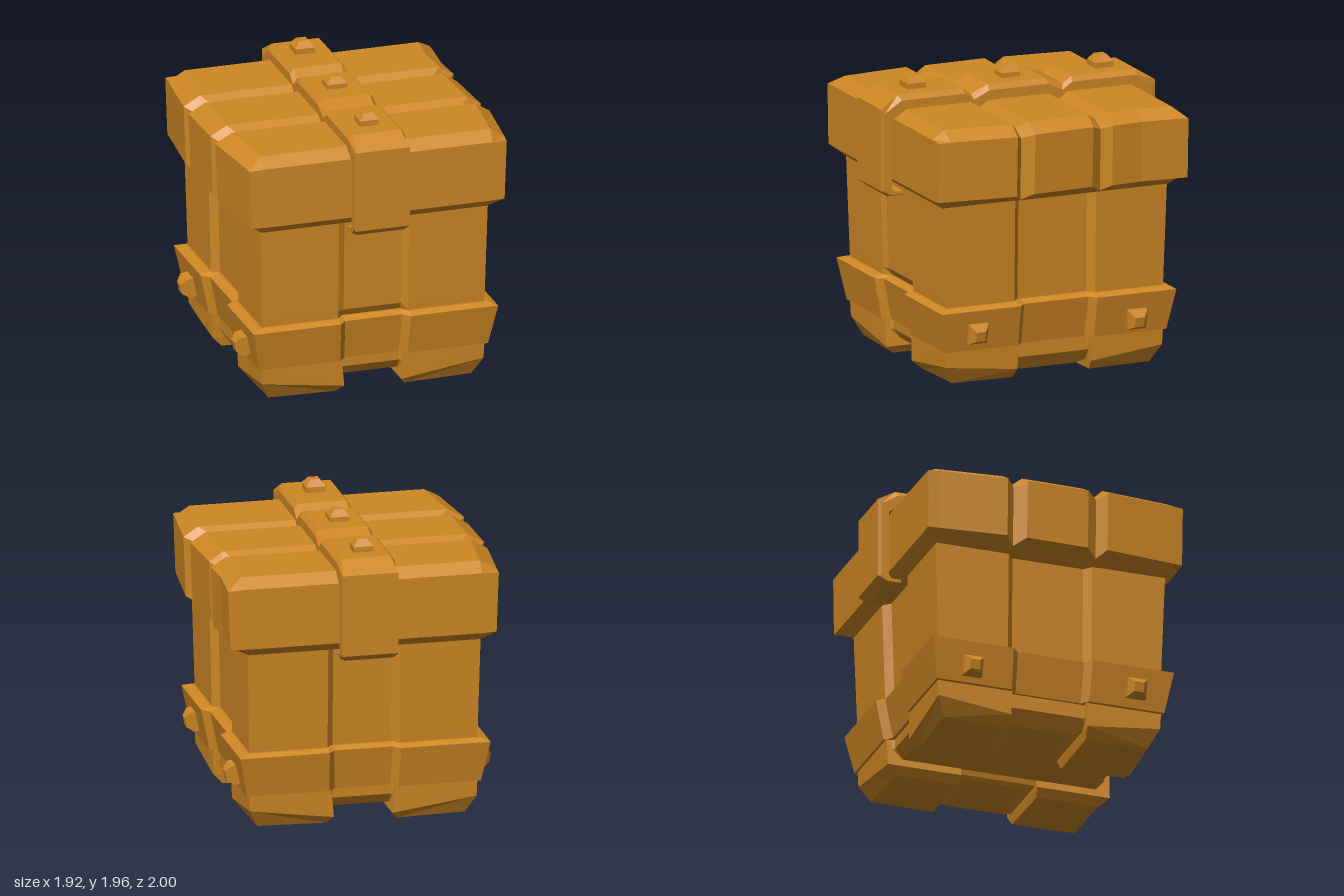
import * as THREE from 'three';

const material = new THREE.MeshStandardMaterial({ color: 0xce8724, flatShading: true });

// Closed solid through matching rings of [x, y, z] points, capped at both ends.
function loft(name, rings) {
  const R = rings.map(r => r.map(p => new THREE.Vector3(...p)));
  const n = R[0].length;
  const tris = [];
  for (let k = 0; k < R.length - 1; k++) {
    for (let i = 0; i < n; i++) {
      const j = (i + 1) % n;
      tris.push([R[k][i], R[k][j], R[k + 1][j]], [R[k][i], R[k + 1][j], R[k + 1][i]]);
    }
  }
  const cap = (ring, sign) => {
    const normal = new THREE.Vector3();
    ring.forEach((p, i) => normal.add(p.clone().cross(ring[(i + 1) % n])));
    const a = normal.toArray().map(Math.abs);
    const drop = a.indexOf(Math.max(...a));
    const flat = ring.map(p => new THREE.Vector2(...p.toArray().filter((_, i) => i !== drop)));
    for (const f of THREE.ShapeUtils.triangulateShape(flat, [])) {
      const t = f.map(i => ring[i]);
      const tn = t[1].clone().sub(t[0]).cross(t[2].clone().sub(t[0]));
      if (tn.dot(normal) * sign < 0) t.reverse();
      tris.push(t);
    }
  };
  cap(R[0], -1);
  cap(R[R.length - 1], 1);
  // Turn the faces outwards whichever way the rings run
  const volume = tris.reduce((s, t) => s + t[0].dot(t[1].clone().cross(t[2])), 0);
  if (volume < 0) tris.forEach(t => t.reverse());
  const g = new THREE.BufferGeometry().setFromPoints(tris.flat());
  g.computeVertexNormals();
  const mesh = new THREE.Mesh(g, material);
  mesh.name = name;
  return mesh;
}

// Square-cornered plan whose four side middles are set back (the front by its own depth)
function plan(y, hx, hz, gx = 0.2, gz = 0.25, front = 0.05) {
  const ring = [];
  [[1, 1], [-1, 1], [-1, -1], [1, -1]].forEach(([sx, sz], k) => {
    const depth = sz > 0 ? front : 0.05;
    const pts = [[hx - 0.05, gz], [hx, gz + 0.045], [hx, hz], [gx + 0.045, hz], [gx, hz - depth]];
    if (k % 2) pts.reverse();
    pts.forEach(([x, z]) => ring.push([x * sx, y, z * sz]));
  });
  return ring;
}

// Lid cross-section at one depth: left and right reach, underside, lower edge, top
function lidSection(z, left, right, base = 1.24, low = 1.31, top = 1.787, chamfer = 0.065) {
  const side = (w, s, inset) => [
    [s * 0.79, base, z], [s * (w - 0.015), low, z],
    [s * w, top - chamfer, z], [s * (w - inset), top, z],
  ];
  return [...side(right, 1, 0.1), ...side(left, -1, 0.115).reverse()];
}

// Square stud with a tapered head, pointing up
function stud(name, size, h) {
  const sq = (w, y) => [[w, y, w], [-w, y, w], [-w, y, -w], [w, y, -w]];
  return loft(name, [sq(size, -0.03), sq(size, h * 0.45), sq(size * 0.5, h)]);
}

export function createModel() {
  const model = new THREE.Group();
  model.name = 'chest';

  // Tapered body with recessed side middles, shallower on the front
  model.add(loft('body', [
    plan(0.11, 0.7, 0.73), plan(0.18, 0.775, 0.785), plan(0.55, 0.78, 0.79),
    plan(0.6, 0.781, 0.792, 0.2, 0.25, 0.022), plan(1.27, 0.797, 0.812, 0.2, 0.25, 0.022),
  ]));

  // Flared band around the bottom
  model.add(loft('lowerBand', [
    plan(0.245, 0.76, 0.76, 0.19, 0.23), plan(0.25, 0.8, 0.805, 0.19, 0.23),
    plan(0.53, 0.855, 0.855, 0.2, 0.235), plan(0.55, 0.8, 0.81, 0.2, 0.235),
  ]));

  for (const sx of [1, -1]) {
    // Corner feet, bevelled towards the outside
    for (const sz of [1, -1]) {
      const ring = (x0, x1, z0, z1, ys) =>
        [[x0, z0], [x1, z0], [x1, z1], [x0, z1]].map(([x, z], i) => [x * sx, ys[i], z * sz]);
      model.add(loft('foot', [
        ring(0.22, 0.78, 0.26, 0.79, [0.26, 0.26, 0.26, 0.26]),
        ring(0.2, 0.775, 0.27, 0.785, [0.06, 0.08, 0.14, 0.06]),
        ring(0.24, 0.71, 0.28, 0.72, [0, 0.01, 0.015, 0.005]),
      ]));
    }
    // Raised block between the feet on each side
    const block = (y, x0, x1, z) =>
      [[x0, z], [x1, z], [x1, -z], [x0, -z]].map(([x, d]) => [x * sx, y, d]);
    model.add(loft('sideBase', [
      block(0.26, 0.2, 0.735, 0.27), block(0.15, 0.2, 0.735, 0.27),
      block(0.075, 0.22, 0.685, 0.265), block(0.05, 0.24, 0.665, 0.2),
    ]));
  }

  // Three-plank lid with V grooves
  model.add(loft('lid', [
    lidSection(-0.9, 0.9, 0.95, 1.305, 1.31, 1.722, 0.004),
    lidSection(-0.82, 0.905, 0.945),
    lidSection(-0.57, 0.93, 0.925),
    lidSection(-0.355, 0.95, 0.94),
    lidSection(-0.295, 0.89, 0.87, 1.24, 1.265, 1.74, 0.05),
    lidSection(-0.22, 0.96, 0.92),
    lidSection(0.215, 0.95, 0.945),
    lidSection(0.29, 0.89, 0.88, 1.24, 1.265, 1.74, 0.05),
    lidSection(0.35, 0.96, 0.96),
    lidSection(0.82, 0.91, 0.91),
    lidSection(0.9, 0.9, 0.9, 1.305, 1.31, 1.722, 0.004),
  ]));

  // Strap over the lid: [outer z, outer y, inner z, inner y, outer half width], hook to middle
  const half = [
    [0.84, 1.195, 0.84, 1.23, 0.165], [0.945, 1.195, 0.905, 1.23, 0.165],
    [1.0, 1.24, 0.925, 1.26, 0.19], [1.0, 1.8, 0.925, 1.715, 0.19],
    [0.87, 1.882, 0.82, 1.785, 0.165], [0.4, 1.882, 0.37, 1.785, 0.165],
    [0.335, 1.835, 0.3, 1.735, 0.165], [0.21, 1.888, 0.22, 1.785, 0.165],
  ];
  const path = [...half, ...[...half].reverse().map(([a, b, c, d, w]) => [-a, b, -c, d, w])];
  model.add(loft('strap', path.map(([oz, oy, iz, iy, w]) => {
    const mz = iz + (oz - iz) * 0.65, my = iy + (oy - iy) * 0.65;
    return [
      [0.195, iy, iz], [0.195, my, mz], [w, oy, oz],
      [-w, oy, oz], [-0.195, my, mz], [-0.195, iy, iz],
    ];
  })));

  // Studs on the strap
  for (const z of [-0.69, -0.01, 0.68]) {
    const s = stud('strapStud', 0.067, 0.08);
    s.position.set(-0.01, 1.884, z);
    model.add(s);
  }

  // Studs on both sides of the lower band, leaning with its slope
  for (const sx of [1, -1]) {
    for (const [z, y] of [[0.59, 0.375], [-0.57, 0.355]]) {
      const s = stud('bandStud', 0.067, 0.075);
      s.position.set(sx > 0 ? 0.822 : -0.835, y, z);
      s.rotation.z = -sx * (Math.PI / 2 + 0.19);
      model.add(s);
    }
  }
  return model;
}
